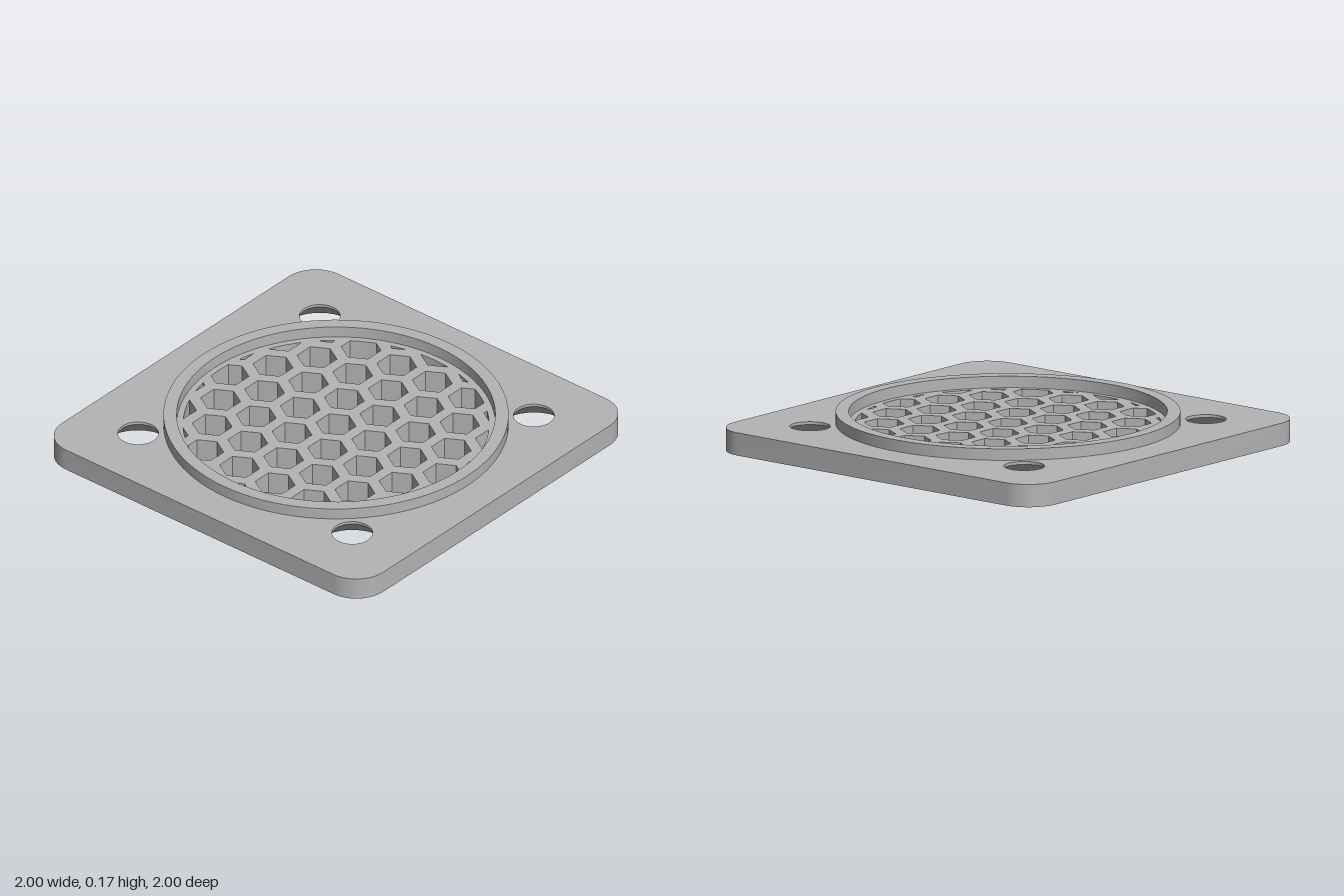
import * as THREE from 'three';
import { mergeGeometries, toCreasedNormals } from 'three/addons/utils/BufferGeometryUtils.js';

const PLATE_TOP = 0.111, RIM_TOP = 0.167;
const CORNER = 0.167;
const VENT_RADIUS = 0.727, PITCH = 2 / 9, HEX_RADIUS = 0.0962;
const SCREW = 0.667, SCREW_RADIUS = 0.097, SINK_RADIUS = 0.194;
const CREASE = 0.5;

// Counter-clockwise regular polygon or circle
function ngon(cx, cy, radius, sides, start = 0) {
  return Array.from({ length: sides }, (_, i) => {
    const a = start + (i / sides) * Math.PI * 2;
    return new THREE.Vector2(cx + radius * Math.cos(a), cy + radius * Math.sin(a));
  });
}

// Trim a convex polygon to the round vent area, one half-plane at a time
function clipToCircle(points, radius, sides = 120) {
  for (let i = 0; i < sides && points.length; i++) {
    const n = new THREE.Vector2(1, 0).rotateAround(new THREE.Vector2(), ((i + 0.5) / sides) * Math.PI * 2);
    const out = [];
    points.forEach((p, k) => {
      const q = points[(k + 1) % points.length];
      const dp = p.dot(n) - radius, dq = q.dot(n) - radius;
      if (dp <= 0) out.push(p);
      if (dp * dq < 0) out.push(p.clone().lerp(q, dp / (dp - dq)));
    });
    points = out;
  }
  return points;
}

// Honeycomb cells, pointing along z, offset every other row
function honeycomb() {
  const cells = [];
  for (let row = -4; row <= 4; row++) {
    for (let col = -5; col <= 5; col++) {
      const x = (col + (row % 2 ? 0.5 : 0)) * PITCH;
      const y = row * PITCH * Math.sqrt(0.75);
      const cell = clipToCircle(ngon(x, y, HEX_RADIUS, 6, Math.PI / 6), VENT_RADIUS);
      if (cell.length > 2 && THREE.ShapeUtils.area(cell) > 0.0001) cells.push(cell);
    }
  }
  return cells;
}

// Upright wall along a closed outline; inward walls face the inside of a hole
function wall(points, inward) {
  const pts = inward ? [...points].reverse() : points;
  const pos = [];
  pts.forEach((a, i) => {
    const b = pts[(i + 1) % pts.length], h = PLATE_TOP;
    pos.push(a.x, 0, -a.y, b.x, 0, -b.y, b.x, h, -b.y);
    pos.push(a.x, 0, -a.y, b.x, h, -b.y, a.x, h, -a.y);
  });
  const geo = new THREE.BufferGeometry();
  geo.setAttribute('position', new THREE.Float32BufferAttribute(pos, 3));
  return toCreasedNormals(geo, CREASE);
}

// Flat face of the plate with holes
function face(outline, holes, y, down) {
  const shape = new THREE.Shape(outline);
  shape.holes = holes.map((h) => new THREE.Path(h));
  const geo = new THREE.ShapeGeometry(shape).rotateX(-Math.PI / 2).translate(0, y, 0);
  if (down) {
    geo.index.array.reverse();
    geo.computeVertexNormals();
  }
  return geo;
}

function lathe(profile, segments) {
  const pts = profile.map(([r, y]) => new THREE.Vector2(r, y));
  return toCreasedNormals(new THREE.LatheGeometry(pts, segments), CREASE);
}

export function createModel() {
  const group = new THREE.Group();
  const grey = new THREE.MeshStandardMaterial({ color: 0xb4b4b4 });
  grey.name = 'grey';
  const add = (name, geo) => {
    const mesh = new THREE.Mesh(geo, grey);
    mesh.name = name;
    group.add(mesh);
    return mesh;
  };

  // Rounded square outline
  const outline = [];
  [[1, 1], [-1, 1], [-1, -1], [1, -1]].forEach(([sx, sy], c) => {
    for (let i = 0; i <= 12; i++) {
      const a = (c + i / 12) * Math.PI / 2;
      outline.push(new THREE.Vector2(
        sx * (1 - CORNER) + CORNER * Math.cos(a), sy * (1 - CORNER) + CORNER * Math.sin(a)));
    }
  });

  const cells = honeycomb();
  const corners = [[1, 1], [-1, 1], [-1, -1], [1, -1]].map(([x, y]) => [x * SCREW, y * SCREW]);
  const screwHoles = (r) => corners.map(([x, y]) => ngon(x, y, r, 48));

  // Base plate: small screw openings above, wide countersinks below
  add('plateTop', face(outline, [...cells, ...screwHoles(SCREW_RADIUS)], PLATE_TOP, false));
  add('plateBottom', face(outline, [...cells, ...screwHoles(SINK_RADIUS)], 0, true));
  add('plateEdge', wall(outline, false));
  add('honeycombWalls', mergeGeometries(cells.map((c) => wall(c, true))));

  // Countersunk screw holes
  const sink = lathe([[SCREW_RADIUS, PLATE_TOP], [SCREW_RADIUS, 0.097], [SINK_RADIUS, 0]], 48);
  corners.forEach(([x, z]) => add('screwHole', sink).position.set(x, 0, z));

  // Raised rim around the vent
  add('rim', lathe([[0.82, PLATE_TOP], [0.82, RIM_TOP], [0.757, RIM_TOP], [0.757, PLATE_TOP]], 96));

  return group;
}
